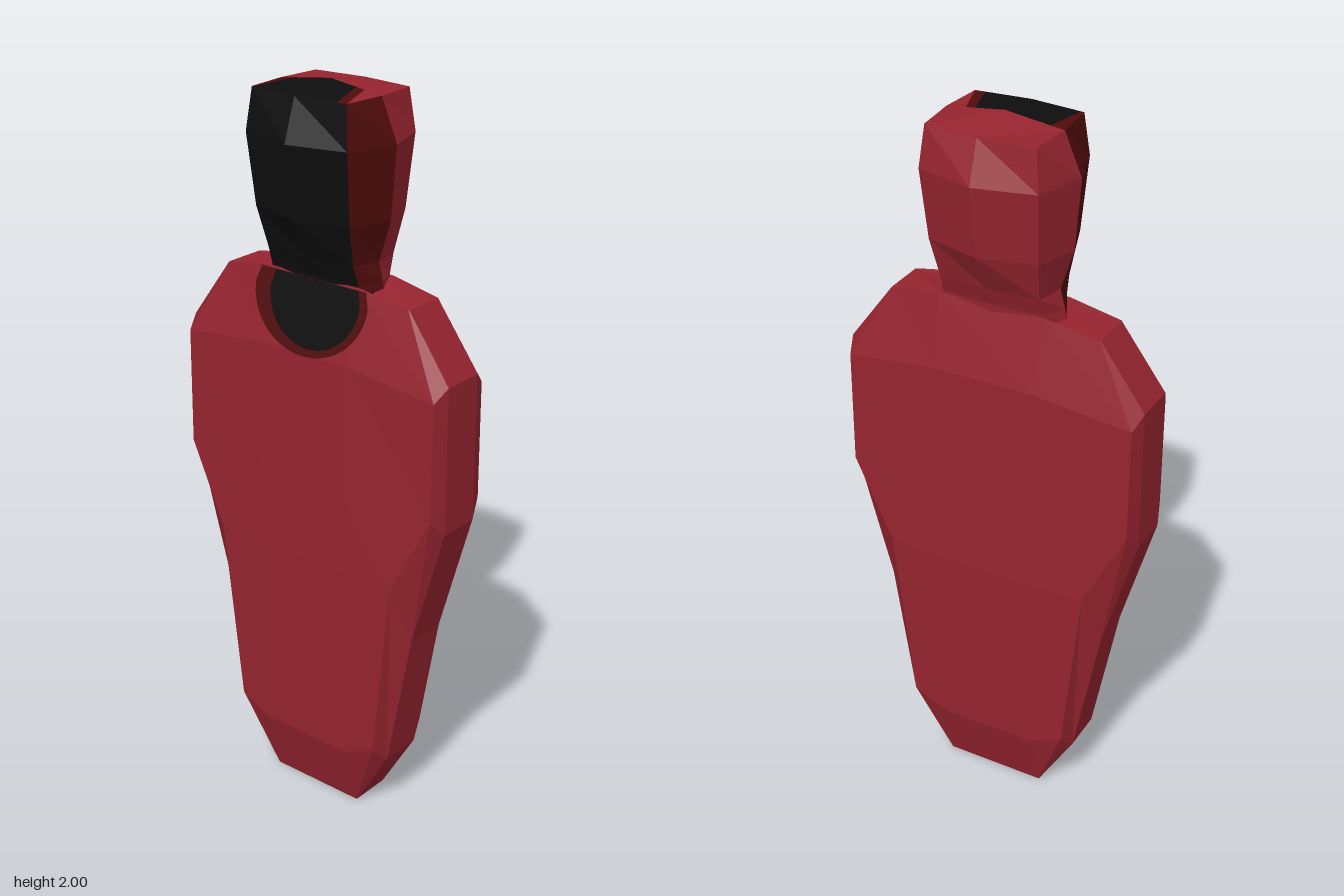
import * as THREE from 'three';

const red = new THREE.MeshStandardMaterial({ color: 0x96242f, flatShading: true });
const maroon = new THREE.MeshStandardMaterial({ color: 0x500c0c, flatShading: true });
const black = new THREE.MeshStandardMaterial({ color: 0x0e0e0e, flatShading: true });
red.name = 'red';
maroon.name = 'maroon';
black.name = 'black';

// Collects quads of one colour into a mesh
function quadMesh(name, quads, material) {
  const pos = [];
  for (const [a, b, c, d] of quads) pos.push(...a, ...b, ...c, ...a, ...c, ...d);
  const geo = new THREE.BufferGeometry();
  geo.setAttribute('position', new THREE.Float32BufferAttribute(pos, 3));
  geo.computeVertexNormals();
  const mesh = new THREE.Mesh(geo, material);
  mesh.name = name;
  return mesh;
}

// Quads joining consecutive rings, kept only for the chosen columns
function loft(rings, keep = () => true) {
  const quads = [];
  for (let i = 0; i < rings.length - 1; i++) {
    const lo = rings[i], hi = rings[i + 1], n = lo.length;
    for (let j = 0; j < n; j++) {
      if (keep(j)) quads.push([lo[j], hi[j], hi[(j + 1) % n], lo[(j + 1) % n]]);
    }
  }
  return quads;
}

// Fan over a ring, facing up or down
function cap(ring, up) {
  const quads = [];
  for (let j = 1; j < ring.length - 1; j++) {
    const [b, c] = up ? [ring[j + 1], ring[j]] : [ring[j], ring[j + 1]];
    quads.push([ring[0], b, c, c]);
  }
  return quads;
}

function buildBody() {
  // Each level: outer edge, front corner, front middle (x, y, z)
  const levels = [
    [[0.145, 0, 0.058], [0.142, 0, 0.06], [0.14, 0, 0.06]],
    [[0.25, 0.18, 0.06], [0.235, 0.225, 0.106], [0.14, 0.18, 0.107]],
    [[0.325, 0.58, 0.06], [0.29, 0.74, 0.113], [0.14, 0.74, 0.12]],
    [[0.42, 0.92, 0.06], [0.405, 0.965, 0.102], [0.14, 0.965, 0.118]],
    [[0.42, 1.32, 0.06], [0.405, 1.285, 0.1], [0.14, 1.32, 0.11]],
    [[0.295, 1.49, 0.058], [0.293, 1.49, 0.06], [0.15, 1.515, 0.065]],
  ];
  const flip = (pts, sx, sz) => pts.map(([x, y, z]) => [x * sx, y, z * sz]);
  const rings = levels.map((q) => {
    const r = [...q].reverse();
    return [...q, ...flip(r, -1, 1), ...flip(q, -1, -1), ...flip(r, 1, -1)];
  });
  return quadMesh('body', [...loft(rings), ...cap(rings[0], false), ...cap(rings[5], true)], red);
}

function buildHead() {
  const head = new THREE.Group();
  head.name = 'head';
  // y, side x, corner x, corner z, front z
  const rings = [
    [1.49, 0.172, 0.142, 0.062, 0.068],
    [1.52, 0.168, 0.14, 0.064, 0.07],
    [1.57, 0.155, 0.138, 0.08, 0.088],
    [1.68, 0.19, 0.15, 0.11, 0.147],
    [1.87, 0.205, 0.16, 0.132, 0.172],
    [1.98, 0.158, 0.148, 0.12, 0.135],
  ].map(([y, w, cx, cz, f]) => [
    [w, y, 0], [cx, y, cz], [0, y, f], [-cx, y, cz],
    [-w, y, 0], [-cx, y, -cz], [0, y, -f], [cx, y, -cz],
  ]);
  const backQuads = loft(rings, (j) => j > 3);
  const sideQuads = loft(rings, (j) => j === 0 || j === 3);
  const faceQuads = loft(rings, (j) => j === 1 || j === 2);

  // Crown split into strips running from the mid ridge to the rim
  const ridge = (x) => [x, 2 - 0.02 * Math.abs(x) / 0.158, 0];
  const rim = (x, s) => [x, 1.98, s * (0.135 - 0.1 * Math.abs(x))];
  const mid = [-0.158, -0.12, 0, 0.08, 0.105, 0.158];
  const front = [-0.148, -0.14, 0, 0.12, 0.148, 0.148];
  [sideQuads, faceQuads, faceQuads, sideQuads, backQuads].forEach((list, i) => {
    list.push([ridge(mid[i]), rim(front[i], 1), rim(front[i + 1], 1), ridge(mid[i + 1])]);
  });
  for (const [m0, m1, r0, r1] of [[-0.158, 0, -0.148, 0], [0, 0.158, 0, 0.148]]) {
    backQuads.push([ridge(m0), ridge(m1), rim(r1, -1), rim(r0, -1)]);
  }
  head.add(
    quadMesh('headBack', backQuads, red),
    quadMesh('headSides', sideQuads, maroon),
    quadMesh('face', faceQuads, black),
  );
  return head;
}

// Rounded chest patch laid on the sloping upper chest
function chestPatch(name, cx, rx, bottom, lift, material) {
  const top = 1.51, cy = 1.47;
  const shape = new THREE.Shape();
  shape.moveTo(cx - rx * 0.93, top);
  shape.lineTo(cx - rx, cy);
  shape.absellipse(cx, cy, rx, cy - bottom, Math.PI, Math.PI * 2, false);
  shape.lineTo(cx + rx * 0.93, top);
  const geo = new THREE.ShapeGeometry(shape, 16);
  const p = geo.attributes.position;
  for (let i = 0; i < p.count; i++) {
    p.setZ(i, 0.11 - (p.getY(i) - 1.32) * 0.231 + lift);
  }
  geo.computeVertexNormals();
  const mesh = new THREE.Mesh(geo, material);
  mesh.name = name;
  return mesh;
}

export function createModel() {
  const model = new THREE.Group();
  model.name = 'targetFigure';
  model.add(
    buildBody(),
    buildHead(),
    chestPatch('chestPatchBorder', 0, 0.183, 1.315, 0.003, maroon),
    chestPatch('chestPatch', 0.015, 0.145, 1.337, 0.006, black),
  );
  return model;
}
